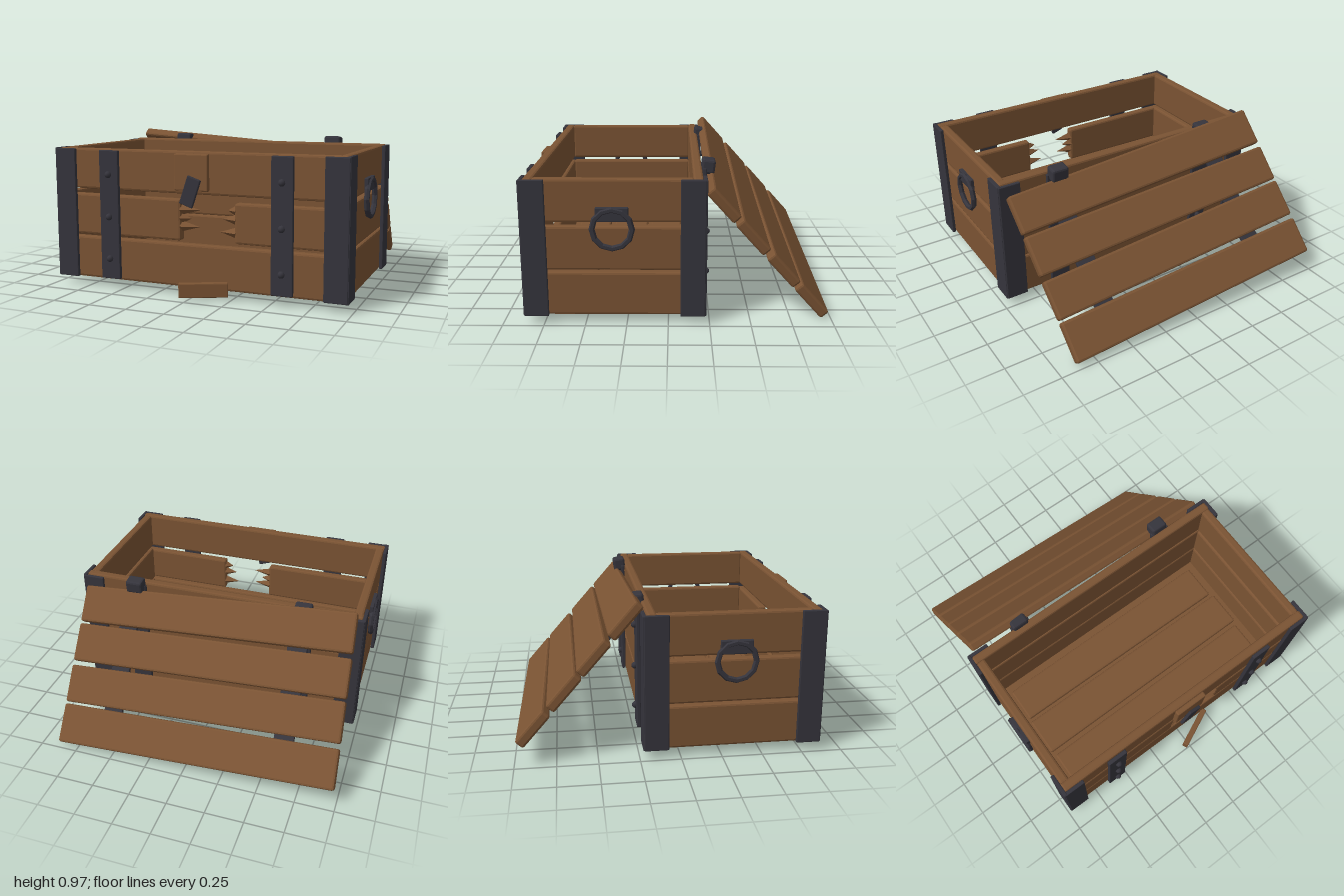
import * as THREE from 'three';
import { RoundedBoxGeometry } from 'three/addons/geometries/RoundedBoxGeometry.js';

export function createModel() {
  const root = new THREE.Group();
  root.name = 'brokenCrate';
  const wood = new THREE.MeshStandardMaterial({ color: 0x7a5333 });
  wood.name = 'wood';
  const iron = new THREE.MeshStandardMaterial({ color: 0x35343c });
  iron.name = 'iron';

  const add = (parent, name, geo, mat, x, y, z) => {
    const mesh = new THREE.Mesh(geo, mat);
    mesh.name = name;
    mesh.position.set(x, y, z);
    parent.add(mesh);
    return mesh;
  };

  // Chamfered block; the skew rule makes one end narrower along the given axis
  const block = (w, h, d, bevel = 0.012, along = 'x', across = 'y', taper = 0) => {
    const geo = new RoundedBoxGeometry(w, h, d, 1, bevel);
    const p = geo.attributes.position;
    const length = { x: w, y: h, z: d }[along];
    const i = 'xyz'.indexOf(along), j = 'xyz'.indexOf(across);
    for (let k = 0; k < p.count; k++) {
      const t = p.getComponent(k, i) / length;
      p.setComponent(k, j, p.getComponent(k, j) * (1 + taper * t));
    }
    geo.computeVertexNormals();
    return geo;
  };
  const plank = (parent, name, w, h, d, x, y, z, along, across, taper) =>
    add(parent, name, block(w, h, d, 0.014, along, across, taper), wood, x, y, z);
  const plate = (parent, name, w, h, d, x, y, z) =>
    add(parent, name, block(w, h, d, 0.005), iron, x, y, z);

  // Walls: three planks each
  const rows = [[0.192, 0.272, 0.02], [0.478, 0.272, -0.02], [0.77, 0.262, 0.02]];
  rows.forEach(([y, h, t], i) => {
    if (i !== 1) plank(root, 'frontPlank', 1.92, h, 0.06, 0, y, 0.82, 'x', 'y', t);
    plank(root, 'backPlank', 1.92, h + 0.01, 0.06, 0, y, -0.175, 'x', 'y', -t);
    for (const s of [-1, 1]) plank(root, 'sidePlank', 0.06, h, 0.95, s * 0.925, y, 0.322, 'z', 'y', t * 0.3);
  });

  // Broken middle front plank with splinters
  plank(root, 'brokenPlankRight', 0.87, 0.262, 0.06, -0.525, 0.475, 0.82, 'x', 'y', -0.02);
  plank(root, 'brokenPlankLeft', 0.69, 0.25, 0.06, 0.615, 0.475, 0.82, 'x', 'y', 0.02);
  const splinters = [
    [-0.095, 0.54, 0.13, 1], [-0.095, 0.485, 0.07, 1], [-0.095, 0.435, 0.125, 1],
    [0.275, 0.55, 0.06, -1], [0.275, 0.495, 0.09, -1], [0.275, 0.415, 0.11, -1],
  ];
  for (const [x, y, len, dir] of splinters) {
    const geo = new THREE.ConeGeometry(0.035, len, 4).toNonIndexed();
    geo.computeVertexNormals();
    const m = add(root, 'splinter', geo, wood, x + dir * len / 2, y, 0.82);
    m.rotation.z = -dir * Math.PI / 2;
  }

  // Floor: slab with three boards on it
  add(root, 'floorSlab', new THREE.BoxGeometry(1.88, 0.035, 1.02), wood, 0, 0.072, 0.322);
  [[-0.005, 0.035, 1.69, 0.255, 0.05], [0, 0.32, 1.72, 0.265, -0.05], [-0.005, 0.615, 1.69, 0.26, 0.08]].forEach(
    ([x, z, w, d, t]) => plank(root, 'floorBoard', w, 0.04, d, x, 0.1, z, 'x', 'z', t));

  // Iron corner plates, bands and rivets
  for (const s of [-1, 1]) {
    for (const [zFace, zSide, out] of [[0.862, 0.795, 1], [-0.218, -0.148, -1]]) {
      plate(root, 'cornerPlate', 0.145, 0.84, 0.024, s * 0.902, 0.477, zFace);
      plate(root, 'cornerSidePlate', 0.024, 0.845, 0.15, s * 0.968, 0.478, zSide);
      plate(root, 'band', 0.135, 0.825, 0.026, s * 0.578, 0.48, zFace + out * 0.004);
      for (const y of [0.2, 0.47, 0.74]) {
        const rivet = new THREE.SphereGeometry(0.022, 8, 6);
        add(root, 'rivet', rivet, iron, s * 0.578, y, zFace + out * 0.022);
      }
    }

    // Ring handle on each side
    const handle = new THREE.Group();
    handle.name = 'handle';
    plate(handle, 'handleMount', 0.03, 0.085, 0.195, s * 0.965, 0.692, 0.33);
    const ring = new THREE.TorusGeometry(0.118, 0.018, 6, 12).toNonIndexed();
    ring.computeVertexNormals();
    add(handle, 'handleRing', ring, iron, s * 0.976, 0.605, 0.33).rotation.y = Math.PI / 2;
    root.add(handle);
  }

  // Lock board, loose hasp and fallen scrap at the front
  add(root, 'lockBoard', block(0.225, 0.225, 0.035, 0.008), wood, -0.002, 0.775, 0.866);
  plate(root, 'hasp', 0.09, 0.18, 0.022, 0, 0.66, 0.894).rotation.z = -0.33;
  add(root, 'fallenScrap', block(0.3, 0.09, 0.04, 0.006), wood, 0.095, 0.07, 0.92).rotation.y = 0.43;

  // Lid hanging open behind, slightly rolled to one side
  const lid = new THREE.Group();
  lid.name = 'lid';
  lid.position.set(-0.025, 0.487, -0.604);
  lid.rotation.set(-0.843, 0, -0.066, 'ZYX');
  [[0.418, 0.004], [0.14, -0.004], [-0.138, 0.005], [-0.416, -0.004]].forEach(([z, yaw], i) => {
    const m = plank(lid, 'lidPlank', 1.87, 0.065, 0.255, 0, 0, z, 'x', 'z', i % 2 ? 0.03 : -0.03);
    m.rotation.y = yaw;
  });
  for (const x of [-0.575, 0.605]) plate(lid, 'lidStrap', 0.13, 0.028, 1.08, x, -0.046, 0);
  root.add(lid);

  // Hinge blocks over the back edge
  [[-0.58, -0.225], [0.575, -0.245]].forEach(([x, z]) => {
    add(root, 'hinge', block(0.115, 0.09, 0.085, 0.014), iron, x, 0.9, z).rotation.x = -0.12;
  });

  return root;
}
